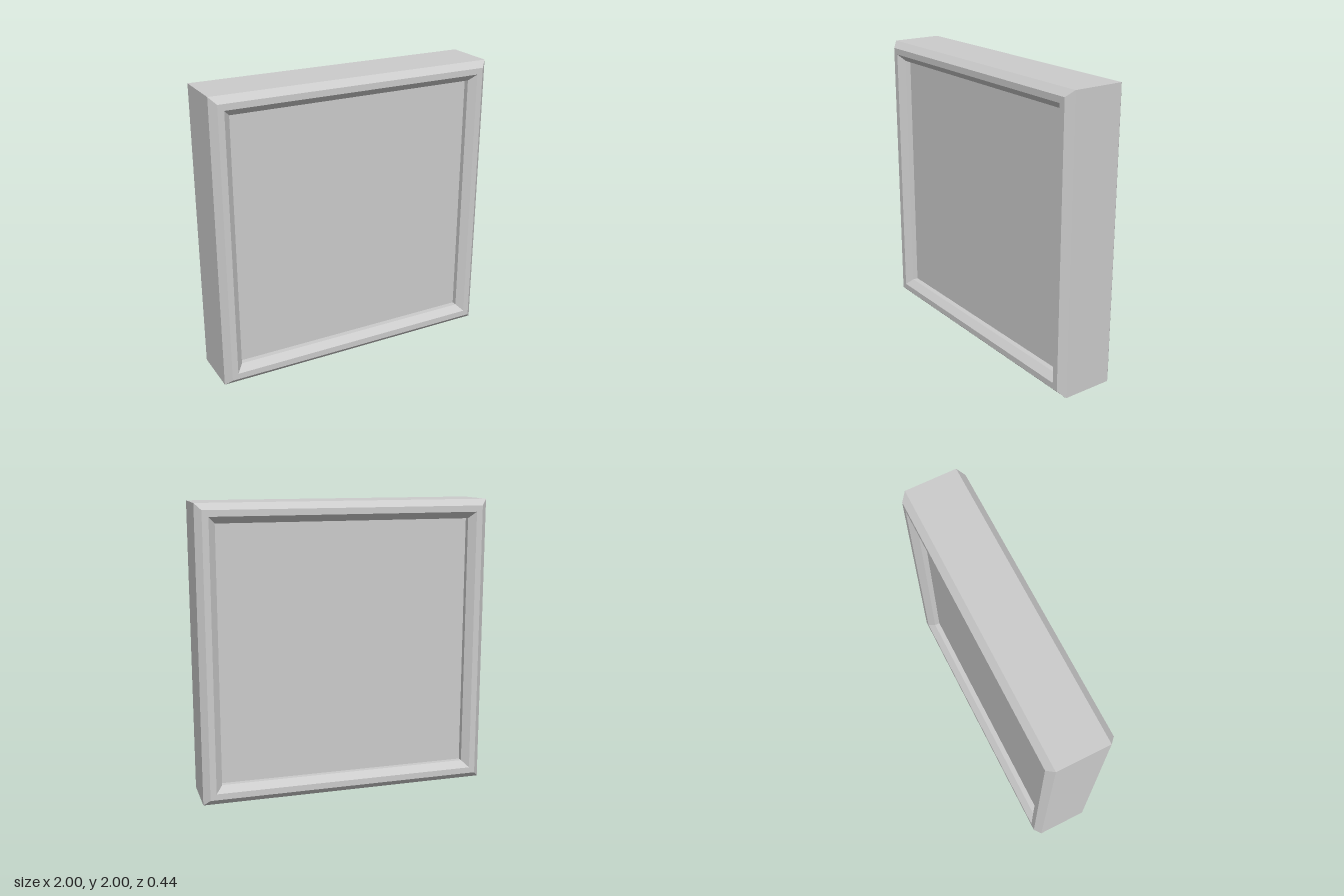
import * as THREE from 'three';

export function createModel() {
  const group = new THREE.Group();
  const material = new THREE.MeshStandardMaterial({ color: 0xcccccc, flatShading: true });

  // Frame: half of the rim section as [half-width, depth], mirrored front to back
  const half = [[1, 0.177], [0.957, 0.22], [0.915, 0.22], [0.87, 0.177], [0.87, 0.14]];
  const section = [
    ...half.map(([r, z]) => [r, -z]).reverse(),
    ...half,
  ].map(([r, z]) => new THREE.Vector2(r * Math.SQRT2, z));

  // Four lathe steps sweep the section around a square with mitred corners
  const frameGeometry = new THREE.LatheGeometry(section, 4, Math.PI / 4)
    .rotateX(Math.PI / 2)
    .toNonIndexed();
  frameGeometry.computeVertexNormals();
  const frame = new THREE.Mesh(frameGeometry, material);
  frame.name = 'frame';
  frame.position.y = 1;
  group.add(frame);

  // Recessed panel closing the frame on both sides
  const panel = new THREE.Mesh(new THREE.BoxGeometry(1.74, 1.74, 0.28), material);
  panel.name = 'panel';
  panel.position.y = 1;
  group.add(panel);

  return group;
}
